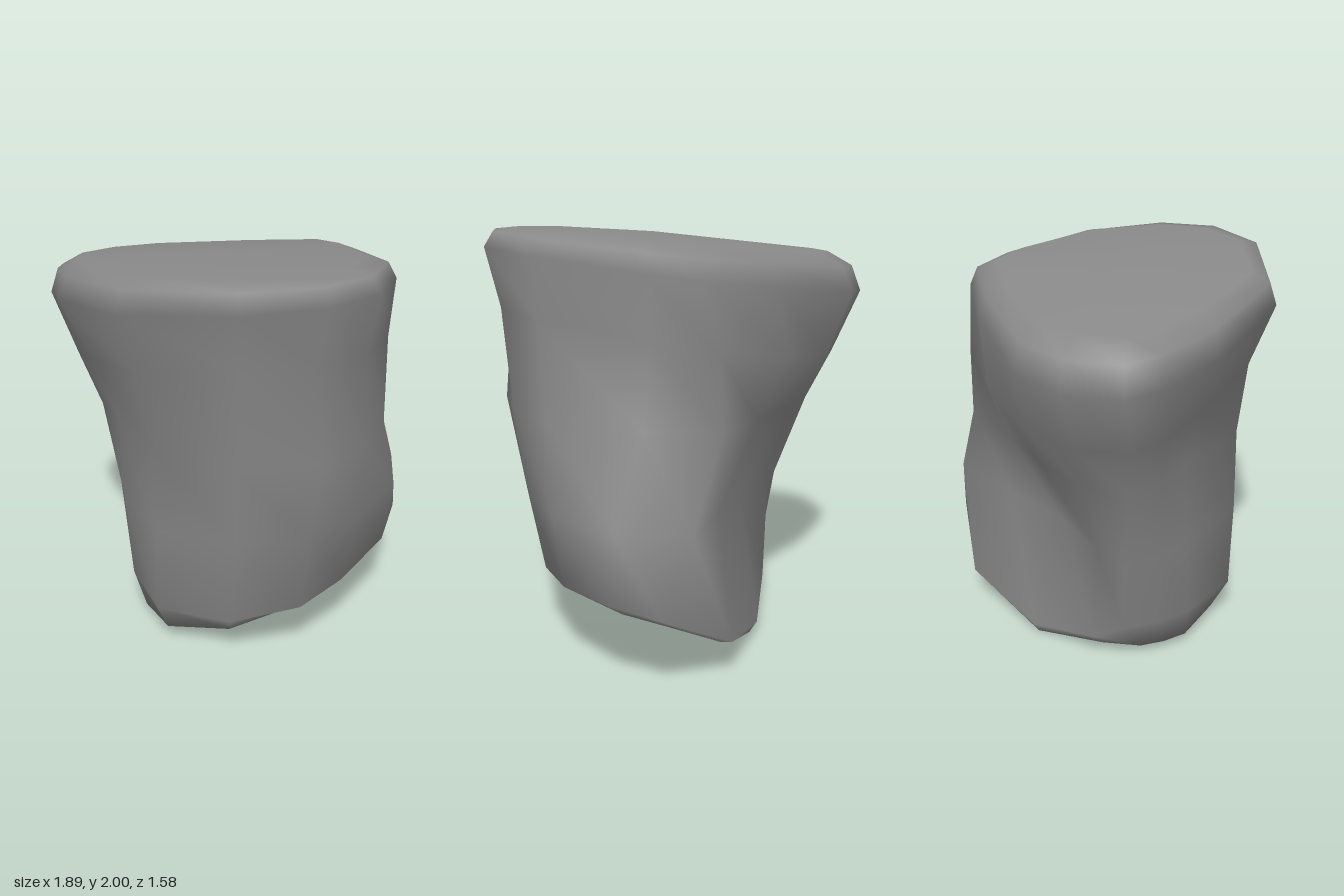
import * as THREE from 'three';

// Each section runs left, back, right, front as [x, z] pairs;
// its height follows a tilted plane y = h + sx * x + sz * z.
const section = (h, sx, sz, outline, scale = 1) =>
  outline.map(([x, z]) => [x * scale, Math.min(2, h + sx * x + sz * z), z * scale]);

// Skin closed sections from top to bottom, with a centre point closing each end.
function loft(sections, topCentre, bottomCentre) {
  const n = sections[0].length;
  const points = [...sections.flat(), topCentre, bottomCentre];
  const top = points.length - 2, bottom = points.length - 1;
  const last = (sections.length - 1) * n;
  const index = [];
  for (let i = 0; i < n; i++) {
    const j = (i + 1) % n;
    index.push(j, i, top, last + i, last + j, bottom);
    for (let r = 0; r < last; r += n) {
      index.push(r + i, r + j, r + n + i, r + j, r + n + j, r + n + i);
    }
  }
  const geometry = new THREE.BufferGeometry();
  geometry.setAttribute('position', new THREE.Float32BufferAttribute(points.flat(), 3));
  geometry.setIndex(index);
  geometry.computeVertexNormals();
  return geometry;
}

export function createModel() {
  const group = new THREE.Group();
  group.name = 'rock';

  // Overhanging rim, also scaled in for the rounded shoulder and the cap
  const rim = [
    [-0.95, -0.43], [-0.79, -0.65], [-0.52, -0.76], [0.10, -0.75], [0.54, -0.68], [0.68, -0.48],
    [0.84, 0.05], [0.76, 0.48], [0.55, 0.72], [0.17, 0.79], [-0.40, 0.56], [-0.80, 0.06],
    [-0.93, -0.25],
  ];

  // Neck undercut below the rim
  const neck = [
    [-0.81, -0.34], [-0.68, -0.56], [-0.40, -0.70], [0.00, -0.75], [0.47, -0.72], [0.63, -0.47],
    [0.82, 0.05], [0.72, 0.42], [0.50, 0.60], [0.17, 0.66], [-0.34, 0.46], [-0.66, 0.03],
    [-0.78, -0.17],
  ];

  // Middle and lower body, hollowed at the back
  const middle = [
    [-0.69, -0.31], [-0.55, -0.49], [-0.24, -0.59], [0.08, -0.64], [0.46, -0.73], [0.71, -0.48],
    [0.83, 0.00], [0.74, 0.33], [0.54, 0.62], [0.16, 0.69], [-0.27, 0.45], [-0.53, 0.04],
    [-0.65, -0.13],
  ];
  const lower = [
    [-0.57, -0.29], [-0.41, -0.36], [-0.07, -0.43], [0.30, -0.59], [0.69, -0.76], [0.91, -0.50],
    [0.91, -0.12], [0.74, 0.24], [0.50, 0.51], [0.15, 0.58], [-0.26, 0.46], [-0.50, 0.08],
    [-0.56, -0.10],
  ];

  // Flared foot and the hollow underside, as [x, y, z]
  const foot = [
    [-0.49, 0.25, -0.26], [-0.37, 0.15, -0.37], [-0.02, 0.06, -0.59], [0.45, 0.18, -0.79],
    [0.86, 0.40, -0.73], [0.94, 0.43, -0.50], [0.87, 0.40, -0.14], [0.66, 0.34, 0.22],
    [0.46, 0.30, 0.45], [0.12, 0.24, 0.54], [-0.27, 0.23, 0.44], [-0.46, 0.24, 0.11],
    [-0.49, 0.24, -0.08],
  ];
  const underside = [
    [-0.40, 0.05, -0.13], [-0.30, 0.05, -0.30], [0.00, 0.00, -0.56], [0.40, 0.13, -0.69],
    [0.70, 0.29, -0.62], [0.80, 0.33, -0.44], [0.71, 0.32, -0.09], [0.55, 0.26, 0.14],
    [0.38, 0.20, 0.32], [0.10, 0.12, 0.42], [-0.23, 0.07, 0.36], [-0.39, 0.05, 0.13],
    [-0.41, 0.05, 0.00],
  ];

  const geometry = loft([
    section(1.945, 0.05, 0.05, rim, 0.82),
    section(1.90, 0.07, 0.07, rim, 0.95),
    section(1.80, 0.10, 0.08, rim),
    section(1.50, 0.12, 0.10, neck),
    section(1.13, 0.02, 0.00, middle),
    section(0.70, 0.05, 0.00, lower),
    foot,
    underside,
  ], [0.1, 1.98, 0], [0.15, 0.23, -0.1]);

  const body = new THREE.Mesh(geometry, new THREE.MeshStandardMaterial({ color: 0x8a8a8a }));
  body.name = 'rockBody';
  group.add(body);
  return group;
}
